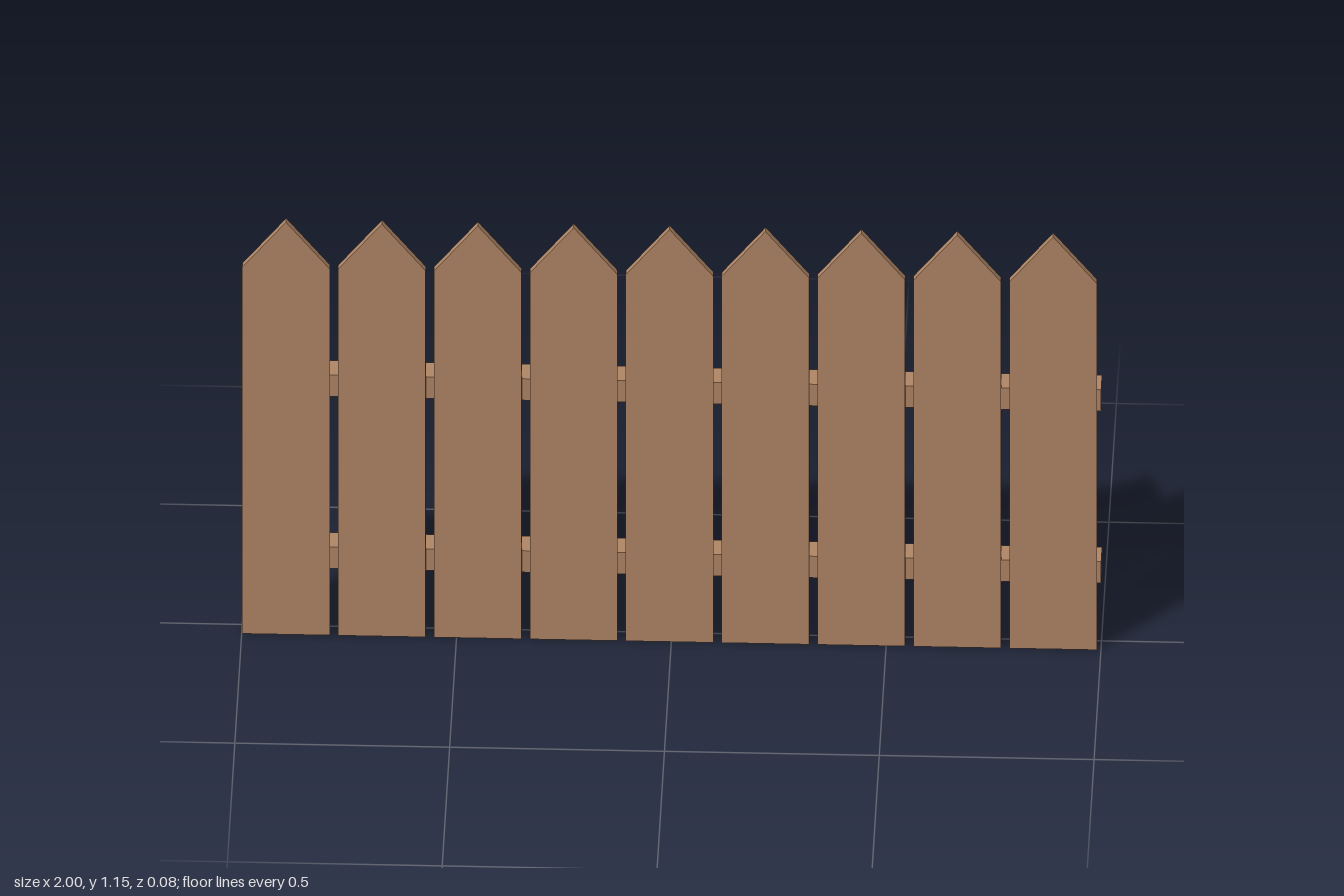
import * as THREE from 'three';

export function createModel() {
  const fence = new THREE.Group();
  fence.name = 'picketFence';
  const wood = new THREE.MeshStandardMaterial({ color: 0xb08565 });
  wood.name = 'brownWood';

  // Pointed board outline, standing on the ground
  const half = 0.102, shoulder = 1.022, tip = 1.15;
  const outline = new THREE.Shape([
    [-half, 0], [half, 0], [half, shoulder], [0, tip], [-half, shoulder],
  ].map(([x, y]) => new THREE.Vector2(x, y)));
  const picketGeometry = new THREE.ExtrudeGeometry(outline, { depth: 0.018, bevelEnabled: false });

  // Row of nine pickets
  const count = 9, spacing = 0.2232;
  for (let i = 0; i < count; i++) {
    const picket = new THREE.Mesh(picketGeometry, wood);
    picket.name = `picket${i + 1}`;
    picket.position.set(-0.897 + i * spacing, 0, 0.0205);
    fence.add(picket);
  }

  // Two rails along the back, set slightly into the pickets
  const railGeometry = new THREE.BoxGeometry(2, 0.06, 0.0615);
  for (const [name, y] of [['lowerRail', 0.206], ['upperRail', 0.686]]) {
    const rail = new THREE.Mesh(railGeometry, wood);
    rail.name = name;
    rail.position.set(0, y, -0.0077);
    fence.add(rail);
  }
  return fence;
}
